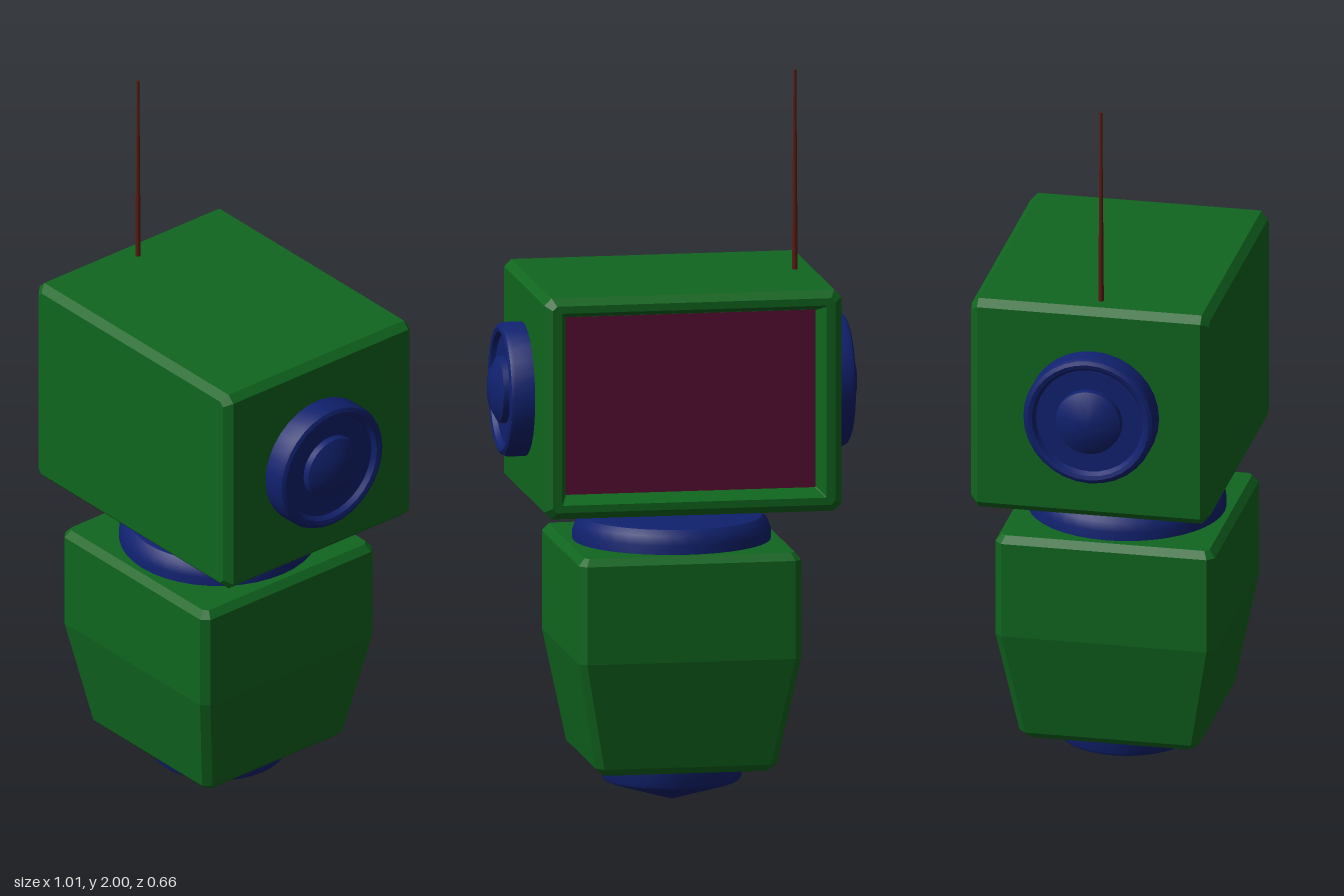
import * as THREE from 'three';
import { toCreasedNormals } from 'three/addons/utils/BufferGeometryUtils.js';

const material = (color) => new THREE.MeshStandardMaterial({ color });

// Joins chamfered rectangles [z, halfWidth, halfHeight, chamfer] into a closed faceted solid
function chamferLoft(sections) {
  const rings = sections.map(([z, w, h, c]) => [
    [w, -h + c, z], [w, h - c, z], [w - c, h, z], [-w + c, h, z],
    [-w, h - c, z], [-w, -h + c, z], [-w + c, -h, z], [w - c, -h, z],
  ]);
  const pos = [];
  const tri = (...corners) => corners.forEach((p) => pos.push(...p));
  for (let r = 0; r + 1 < rings.length; r++) {
    const a = rings[r], b = rings[r + 1];
    for (let i = 0; i < 8; i++) {
      const j = (i + 1) % 8;
      tri(a[i], a[j], b[j]);
      tri(a[i], b[j], b[i]);
    }
  }
  const first = rings[0], last = rings[rings.length - 1];
  for (let i = 1; i < 7; i++) {
    tri(first[0], first[i + 1], first[i]);
    tri(last[0], last[i], last[i + 1]);
  }
  const geo = new THREE.BufferGeometry();
  geo.setAttribute('position', new THREE.Float32BufferAttribute(pos, 3));
  geo.computeVertexNormals();
  return geo;
}

// Turned part from [radius, height] pairs, listed from bottom to top
function turned(profile, segments = 32) {
  const points = profile.map(([r, y]) => new THREE.Vector2(r, y));
  return toCreasedNormals(new THREE.LatheGeometry(points, segments), 0.6);
}

export function createModel() {
  const model = new THREE.Group();
  const green = material(0x10661f);
  const blue = material(0x10216e);
  const maroon = material(0x560d31);
  const rust = material(0x5a1c10);
  const add = (name, geo, mat, x, y, z) => {
    const mesh = new THREE.Mesh(geo, mat);
    mesh.name = name;
    mesh.position.set(x, y, z);
    model.add(mesh);
    return mesh;
  };
  const headY = 1.145, axisZ = 0.02;

  // Head: bevelled box with a recess sunk into its back
  add('head', chamferLoft([
    [-0.27, 0.345, 0.245, 0.003],
    [-0.33, 0.365, 0.265, 0.003],
    [-0.33, 0.39, 0.285, 0.012],
    [-0.31, 0.41, 0.305, 0.02],
    [0.31, 0.41, 0.305, 0.02],
    [0.33, 0.39, 0.285, 0.012],
  ]), green, 0, headY, 0);

  // Screen at the bottom of the recess, facing back
  const screen = add('screen', new THREE.PlaneGeometry(0.69, 0.49), maroon, 0, headY, -0.273);
  screen.rotation.y = Math.PI;

  // Round ears: rolled rim, shallow dish and raised hub
  const ear = turned([
    [0.183, 0.38], [0.183, 0.462], [0.178, 0.473], [0.168, 0.478],
    [0.157, 0.475], [0.148, 0.462], [0.092, 0.462], [0.09, 0.48],
    [0.05, 0.502], [0, 0.505],
  ]);
  for (const side of [1, -1]) {
    const mesh = add(side > 0 ? 'leftEar' : 'rightEar', ear, blue, 0, headY, 0.013);
    mesh.rotation.z = -side * Math.PI / 2;
  }

  // Body: bevelled block tapering toward the bottom
  const body = chamferLoft([
    [0.11, 0.23, 0.23, 0.015],
    [0.13, 0.25, 0.25, 0.02],
    [0.43, 0.307, 0.305, 0.02],
    [0.70, 0.307, 0.305, 0.02],
    [0.72, 0.29, 0.288, 0.012],
  ]);
  body.rotateX(-Math.PI / 2);
  add('body', body, green, 0, 0, axisZ);

  // Neck disc with a rounded upper edge
  add('neck', turned([
    [0.27, 0.69], [0.27, 0.745], [0.262, 0.77], [0.247, 0.785], [0.22, 0.79], [0, 0.79],
  ], 40), blue, 0, 0, axisZ);

  // Pointed foot under the body
  add('foot', turned([
    [0, 0], [0.17, 0.051], [0.185, 0.057], [0.19, 0.065], [0.19, 0.14],
  ]), blue, 0, 0, axisZ);

  // Telescopic antenna, each section thinner than the one below
  [[1.43, 1.64, 0.0075], [1.64, 1.83, 0.006], [1.83, 2, 0.0045]].forEach(([y0, y1, r], i) => {
    add('antennaSection' + (i + 1), new THREE.CylinderGeometry(r * 0.9, r, y1 - y0, 8),
      rust, -0.34, (y0 + y1) / 2, axisZ);
  });

  return model;
}
